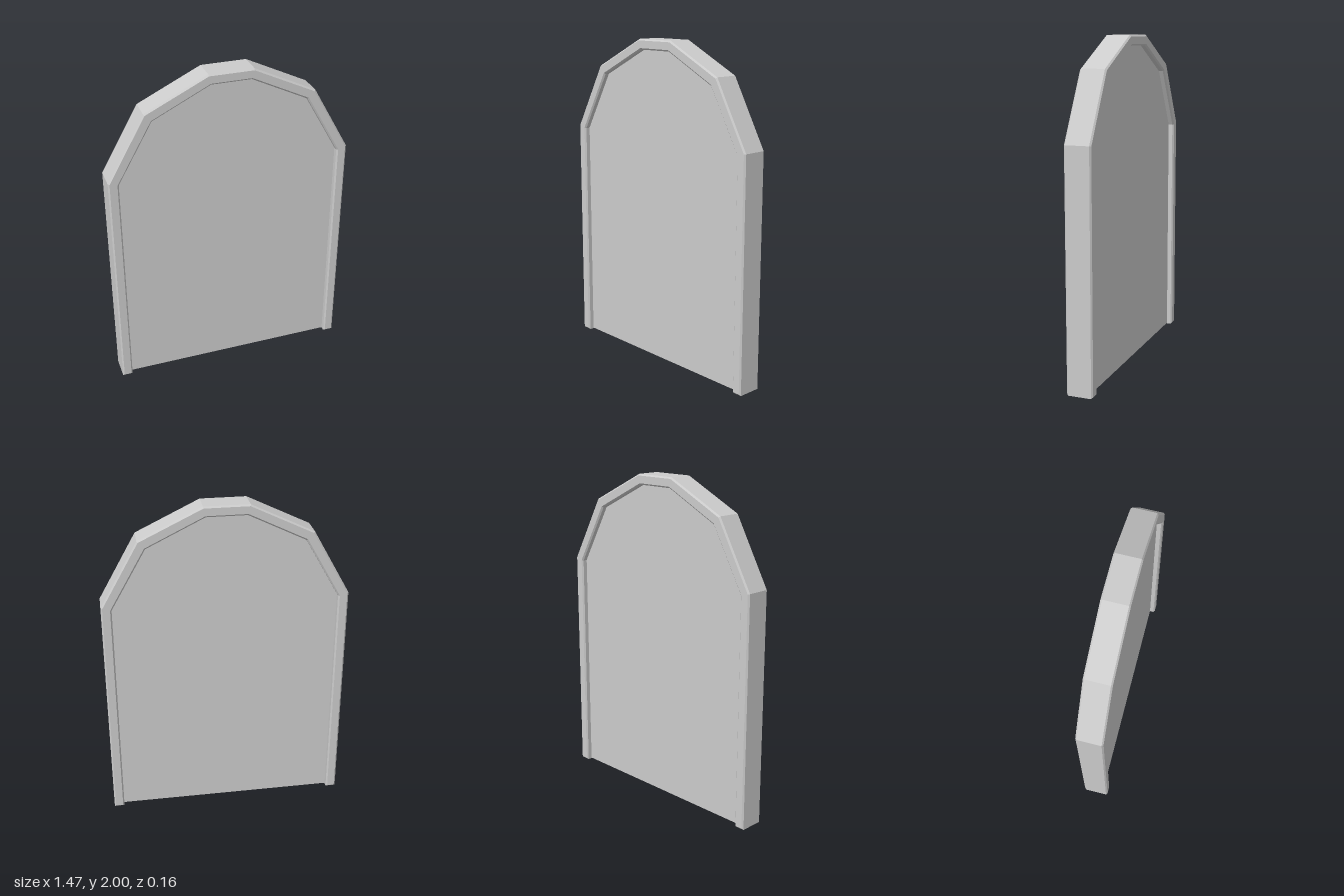
import * as THREE from 'three';

const material = new THREE.MeshStandardMaterial({ color: 0xcccccc, flatShading: true });

// Right half of each arch, from the floor to the crown
const OUTER = [[0.737, 0], [0.737, 1.42], [0.512, 1.818], [0.135, 2]];
const INNER = [[0.674, 0], [0.674, 1.402], [0.465, 1.768], [0.12, 1.937]];

// Mirror a half arch into a full outline running from right foot to left foot
function arch(half, bottom = 0) {
  const right = half.map(([x, y]) => new THREE.Vector2(x, Math.max(y, bottom)));
  const left = right.map((p) => new THREE.Vector2(-p.x, p.y)).reverse();
  return [...right, ...left];
}

// Extrude an outline centred on z = 0, with an inset chamfer
function slab(name, points, depth, bevel) {
  const geometry = new THREE.ExtrudeGeometry(new THREE.Shape(points), {
    depth: depth - 2 * bevel,
    bevelEnabled: bevel > 0,
    bevelThickness: bevel,
    bevelSize: bevel,
    bevelOffset: -bevel,
    bevelSegments: 1,
  });
  geometry.translate(0, 0, bevel - depth / 2);
  const mesh = new THREE.Mesh(geometry, material);
  mesh.name = name;
  return mesh;
}

export function createModel() {
  const group = new THREE.Group();
  group.name = 'archedPanel';

  // Chamfered frame, open at the floor
  group.add(slab('frame', [...arch(OUTER), ...arch(INNER).reverse()], 0.16, 0.009));

  // Flat panel recessed on both faces
  group.add(slab('panel', arch(INNER, 0.004), 0.09, 0));

  return group;
}
